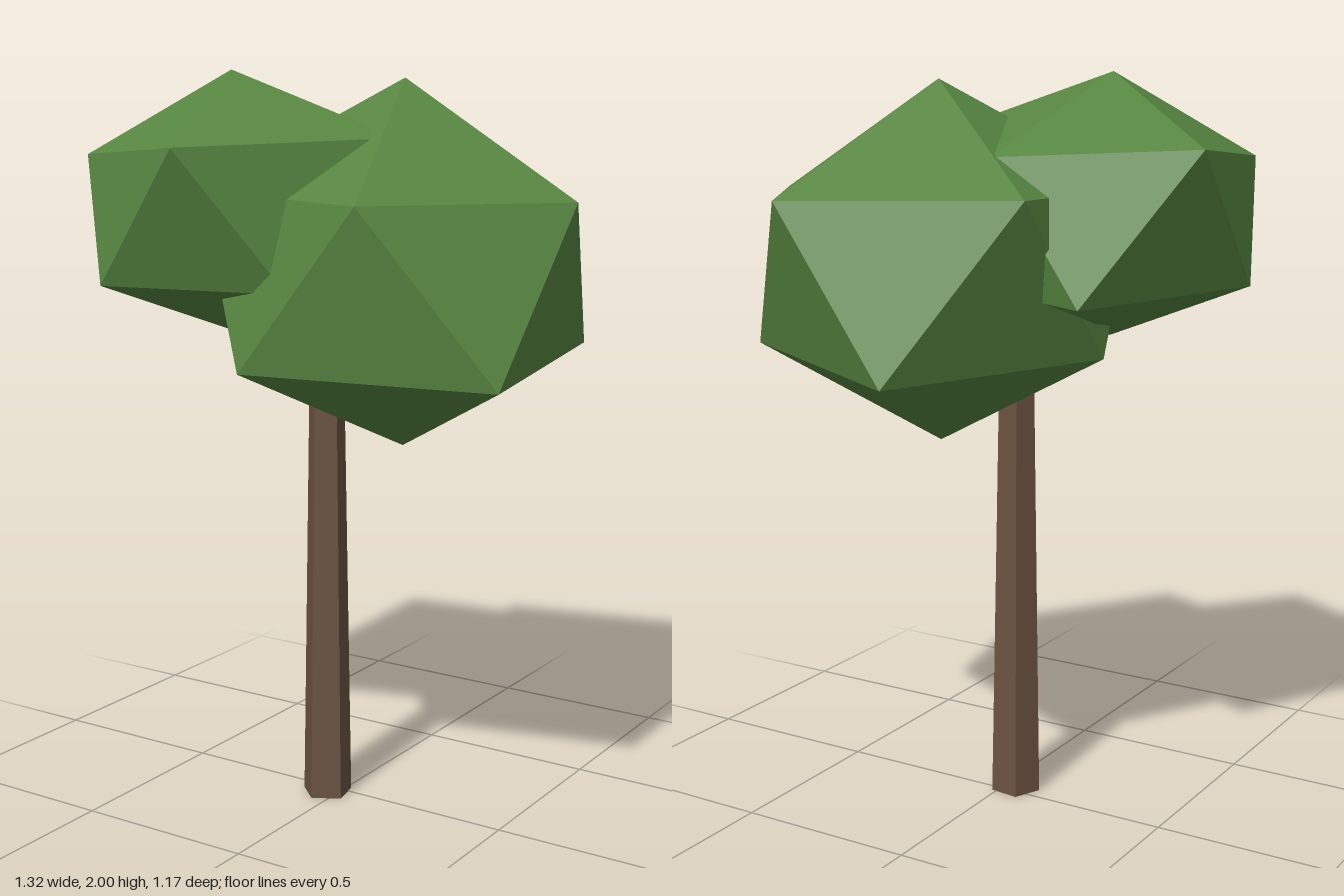
import * as THREE from 'three';

const leafGreen = new THREE.MeshStandardMaterial({ color: 0x568540 });
const barkBrown = new THREE.MeshStandardMaterial({ color: 0x6b5241 });
leafGreen.name = 'leafGreen';
barkBrown.name = 'barkBrown';

// Uneven, slightly squashed icosahedron: two five-point rings between two poles.
// Each ring point has its own reach; its height follows from that reach.
function createCrown(name, center, top, bottom, upperReach, lowerReach) {
  const ring = (reach, offset, slope) => reach.map((r, i) => {
    const a = (i + offset) * Math.PI * 0.4;
    return [r * Math.cos(a), r * slope, r * Math.sin(a)];
  });
  const up = ring(upperReach, 0, 0.4);
  const low = ring(lowerReach, 0.5, -0.4);
  const topPoint = [0, top, 0];
  const bottomPoint = [0, -bottom, 0];

  const corners = [];
  for (let i = 0; i < 5; i++) {
    const n = (i + 1) % 5;
    corners.push(
      topPoint, up[n], up[i],
      up[i], up[n], low[i],
      low[i], up[n], low[n],
      bottomPoint, low[i], low[n]
    );
  }
  const geometry = new THREE.BufferGeometry();
  geometry.setAttribute('position', new THREE.Float32BufferAttribute(corners.flat(), 3));
  geometry.computeVertexNormals(); // unshared corners give flat facets

  const mesh = new THREE.Mesh(geometry, leafGreen);
  mesh.name = name;
  mesh.position.set(...center);
  return mesh;
}

// Tapered five-sided trunk running up into the foliage
function createTrunk() {
  const height = 1.4;
  const geometry = new THREE.CylinderGeometry(
    0.046, 0.07, height, 5, 1, false, THREE.MathUtils.degToRad(66)
  ).toNonIndexed();
  geometry.computeVertexNormals();
  const trunk = new THREE.Mesh(geometry, barkBrown);
  trunk.name = 'trunk';
  trunk.position.set(-0.034, height / 2, 0.028);
  return trunk;
}

export function createModel() {
  const tree = new THREE.Group();
  tree.name = 'tree';
  tree.add(
    createTrunk(),
    createCrown('largeCrown', [0.16, 1.48, -0.05], 0.5, 0.47,
      [0.5, 0.52, 0.53, 0.57, 0.53], [0.58, 0.545, 0.5, 0.566, 0.485]),
    createCrown('smallCrown', [-0.26, 1.63, 0.135], 0.37, 0.32,
      [0.51, 0.47, 0.38, 0.494, 0.42], [0.43, 0.416, 0.4, 0.467, 0.43])
  );
  return tree;
}
